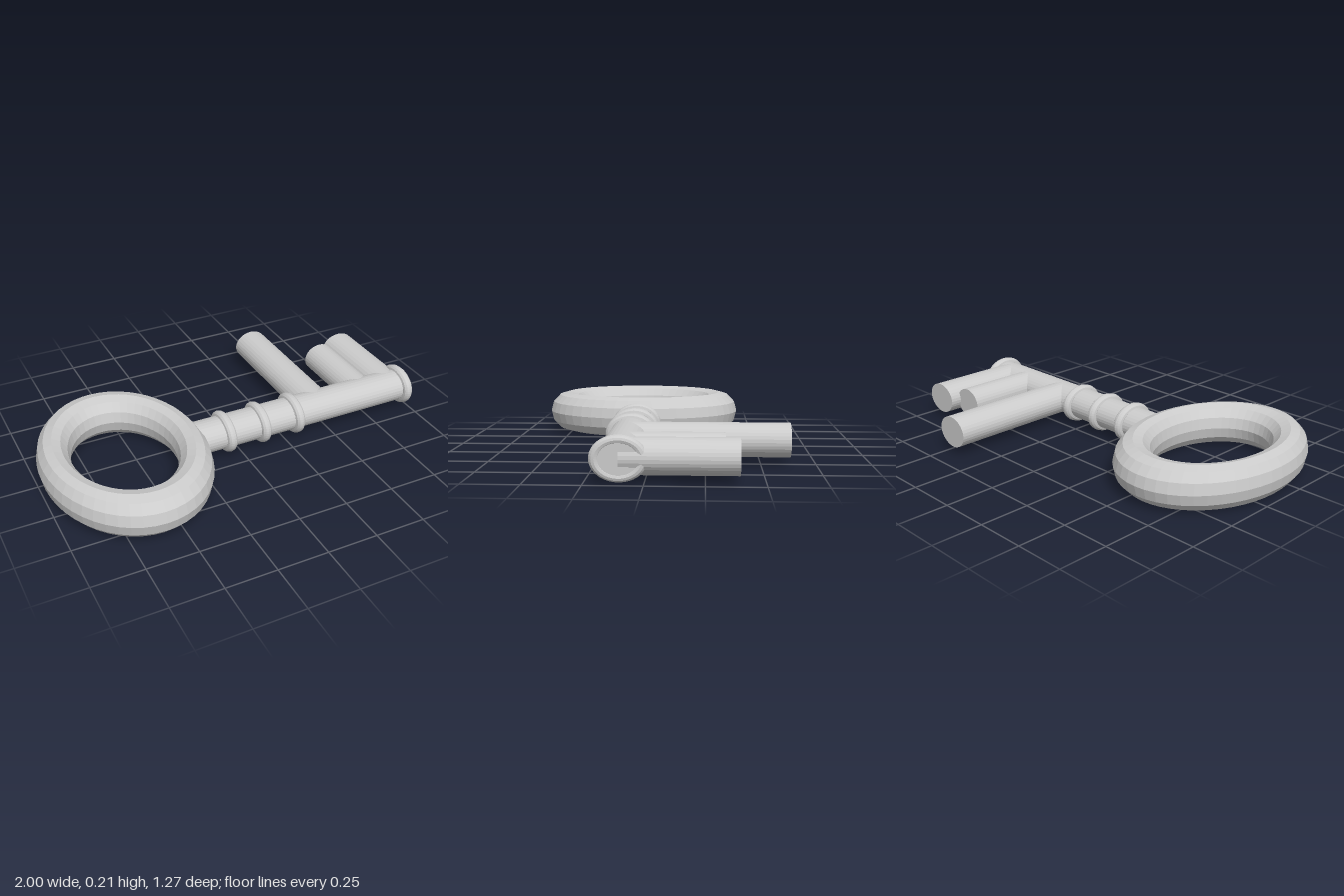
import * as THREE from 'three';

const AXIS_Y = 0.107, AXIS_Z = 0.103;

export function createModel() {
  const key = new THREE.Group();
  key.name = 'key';
  const material = new THREE.MeshStandardMaterial({ color: 0xcccccc, flatShading: true });

  function add(name, geometry, x, z = AXIS_Z) {
    const mesh = new THREE.Mesh(geometry, material);
    mesh.name = name;
    mesh.position.set(x, AXIS_Y, z);
    key.add(mesh);
  }

  // Oval bow, lying flat
  add('bow', new THREE.TorusGeometry(0.325, 0.08, 12, 48)
    .rotateX(Math.PI / 2).scale(1, 1.325, 1.308), -0.595);

  // Slightly flattened shaft along x
  const start = -0.25, end = 0.99;
  add('shaft', new THREE.CylinderGeometry(1, 1, end - start, 32)
    .rotateZ(Math.PI / 2).scale(1, 0.079, 0.095), (start + end) / 2);

  // Collars around the shaft and at its tip
  [-0.068, 0.122, 0.315, 0.97].forEach((x, i) => {
    add(i < 3 ? 'collar' + (i + 1) : 'tipCollar',
      new THREE.TorusGeometry(0.098, 0.025, 12, 48)
        .rotateY(Math.PI / 2).scale(1, 0.8, 1), x);
  });

  // Round teeth running from the shaft axis to the back
  const teeth = [
    { x: 0.463, rx: 0.093, ry: 0.079, back: -0.635 },
    { x: 0.741, rx: 0.085, ry: 0.076, back: -0.335 },
    { x: 0.902, rx: 0.096, ry: 0.079, back: -0.393 },
  ];
  teeth.forEach(({ x, rx, ry, back }, i) => {
    add('tooth' + (i + 1), new THREE.CylinderGeometry(1, 1, AXIS_Z - back, 32)
      .rotateX(Math.PI / 2).scale(rx, ry, 1), x, (AXIS_Z + back) / 2);
  });

  return key;
}
